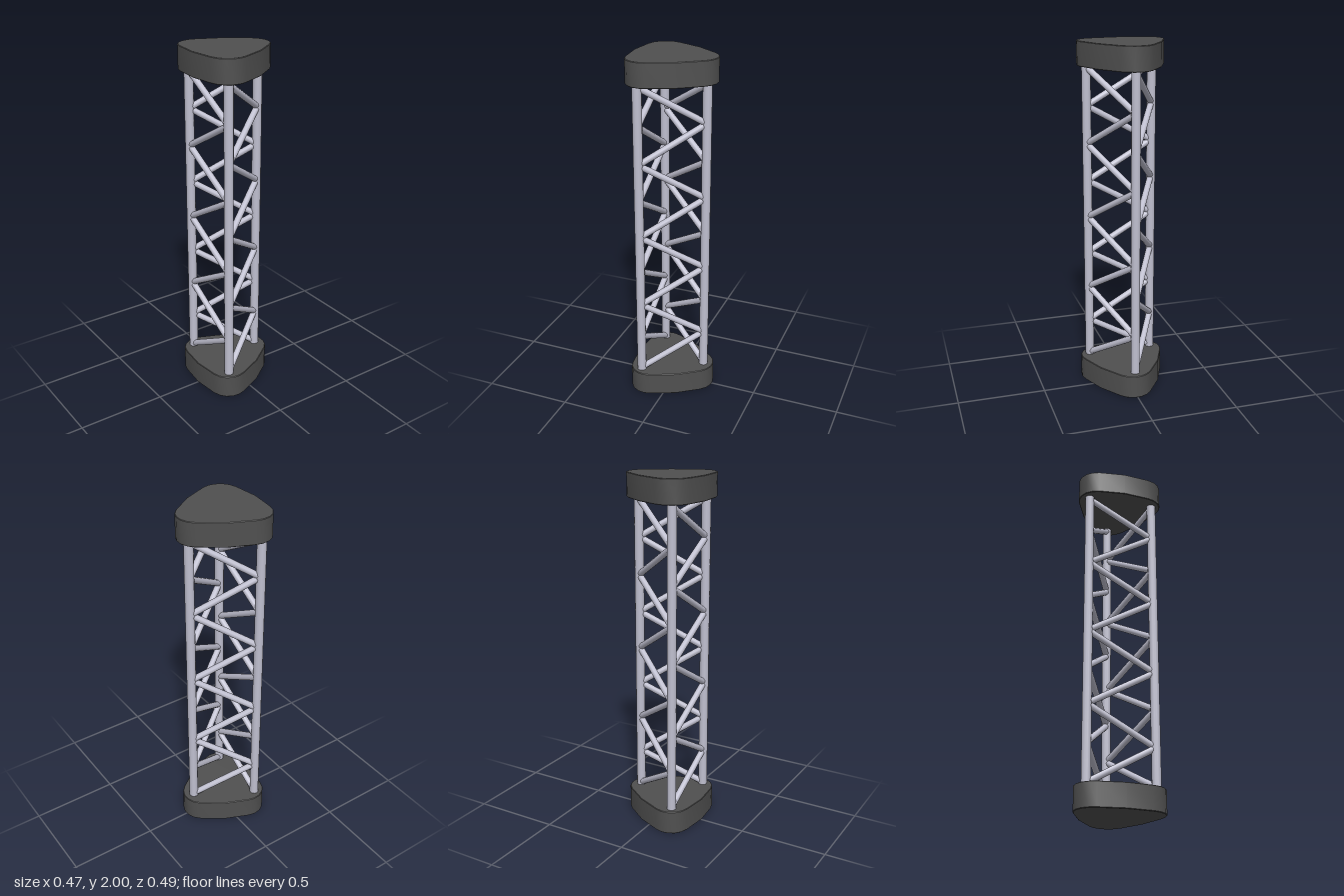
import * as THREE from 'three';
import { toCreasedNormals } from 'three/addons/utils/BufferGeometryUtils.js';

const metal = new THREE.MeshStandardMaterial({ color: 0xc0c0d0 });
const dark = new THREE.MeshStandardMaterial({ color: 0x505050 });

// Round bar between two points
function bar(name, a, b, radius, sides) {
  const dir = b.clone().sub(a);
  const mesh = new THREE.Mesh(new THREE.CylinderGeometry(radius, radius, dir.length(), sides), metal);
  mesh.name = name;
  mesh.position.copy(a).add(b).multiplyScalar(0.5);
  mesh.quaternion.setFromUnitVectors(new THREE.Vector3(0, 1, 0), dir.normalize());
  return mesh;
}

// Rounded triangular end plate: half outline mirrored across z = 0
function plateGeometry(height) {
  const half = [
    [0.235, 0.02], [0.22, 0.058], [0.192, 0.089], [0.07, 0.176], [-0.065, 0.235], [-0.105, 0.245],
    [-0.145, 0.24], [-0.181, 0.22], [-0.206, 0.188], [-0.219, 0.147],
  ];
  const outline = [...half, [-0.235, 0], ...half.map(([x, z]) => [x, -z]).reverse()];
  const shape = new THREE.Shape(outline.map(([x, z]) => new THREE.Vector2(x, z)));
  const bevel = 0.003;
  const geo = new THREE.ExtrudeGeometry(shape, {
    depth: height - 2 * bevel, bevelEnabled: true, bevelSize: bevel,
    bevelThickness: bevel, bevelOffset: -bevel, bevelSegments: 1,
  });
  geo.translate(0, 0, bevel);
  geo.rotateX(-Math.PI / 2);
  return toCreasedNormals(geo, 0.6);
}

export function createModel() {
  const model = new THREE.Group();
  const plateHeight = 0.135;

  // End plates
  const plate = plateGeometry(plateHeight);
  [['bottomPlate', 0], ['topPlate', 2 - plateHeight]].forEach(([name, y]) => {
    const mesh = new THREE.Mesh(plate, dark);
    mesh.name = name;
    mesh.position.y = y;
    model.add(mesh);
  });

  // Three upright tubes
  const corners = [[-0.14, 0.188], [0.179, 0], [-0.14, -0.188]];
  const at = (i, y) => new THREE.Vector3(corners[i][0], y, corners[i][1]);
  corners.forEach((c, i) => model.add(bar('upright', at(i, 0.12), at(i, 1.88), 0.026, 12)));

  // Zigzag bracing on each of the three sides
  const bays = 8, top = 1.855, step = 0.214, inset = 0.05;
  for (let side = 0; side < 3; side++) {
    const bracing = new THREE.Group();
    bracing.name = 'zigzagBracing';
    const next = (side + 1) % 3;
    for (let k = 0; k < bays; k++) {
      const [from, to] = k % 2 ? [next, side] : [side, next];
      const a = at(from, top - k * step);
      const b = at(to, top - (k + 1) * step);
      bracing.add(bar('brace', a.clone().lerp(b, inset), b.clone().lerp(a, inset), 0.018, 12));
    }
    model.add(bracing);
  }
  return model;
}
